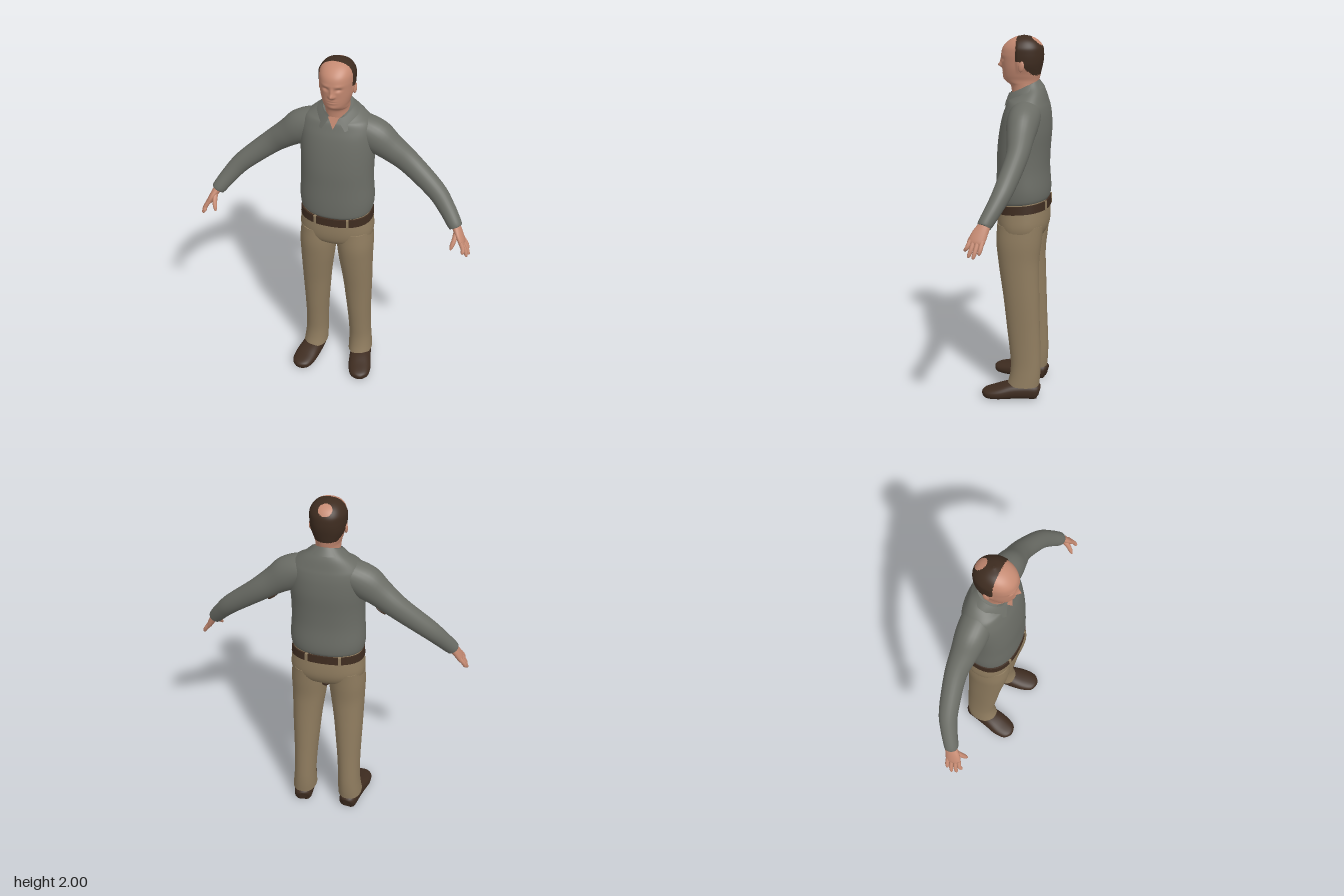
import * as THREE from 'three';

const mat = (name, color, side = THREE.FrontSide) => {
  const m = new THREE.MeshStandardMaterial({ color, side });
  m.name = name;
  return m;
};

// Section seen from above: height, half width, front z, back z, backward rise, centre x
const flat = (y, rx, zf, zb, k = 0, x = 0) => [x, y, (zf + zb) / 2, rx, (zf - zb) / 2, k];

// Skin smoothly over sections [x, y, z, halfU, halfV, rise]; ref sets the V axis.
// level keeps rings horizontal, and then the sections must run upward.
function loft(sections, { sides = 32, sub = 4, n = 2, level = false, ref = [0, 0, 1] } = {}) {
  const path = new THREE.CatmullRomCurve3(sections.map(s => new THREE.Vector3(s[0], s[1], s[2])), false, 'catmullrom', 0.5);
  const size = new THREE.CatmullRomCurve3(sections.map(s => new THREE.Vector3(s[3], s[4], s[5] || 0)), false, 'catmullrom', 0.5);
  const rows = (sections.length - 1) * sub, pos = [], idx = [];
  const power = v => Math.sign(v) * Math.pow(Math.abs(v), 2 / n);
  for (let i = 0; i <= rows; i++) {
    const c = path.getPoint(i / rows), r = size.getPoint(i / rows);
    const T = level ? new THREE.Vector3(0, 1, 0) : path.getTangent(i / rows);
    const V = new THREE.Vector3(...ref);
    V.addScaledVector(T, -V.dot(T)).normalize();
    const U = T.clone().cross(V);
    for (let j = 0; j < sides; j++) {
      const a = j / sides * Math.PI * 2, u = power(Math.cos(a)) * r.x, v = power(Math.sin(a)) * r.y;
      const p = c.clone().addScaledVector(U, u).addScaledVector(V, v);
      pos.push(p.x, p.y - r.z * v, p.z);
    }
  }
  for (let i = 0; i < rows; i++) for (let j = 0; j < sides; j++) {
    const a = i * sides + j, b = i * sides + (j + 1) % sides, c = a + sides, d = b + sides;
    idx.push(a, c, b, b, c, d);
  }
  // separate end caps keep a crisp rim
  for (const row of [0, rows]) {
    const base = pos.length / 3, c = path.getPoint(row / rows);
    for (let q = 0; q < sides * 3; q++) pos.push(pos[row * sides * 3 + q]);
    pos.push(c.x, c.y, c.z);
    for (let j = 0; j < sides; j++) {
      const a = base + j, b = base + (j + 1) % sides;
      idx.push(base + sides, ...(row ? [b, a] : [a, b]));
    }
  }
  const g = new THREE.BufferGeometry();
  g.setAttribute('position', new THREE.Float32BufferAttribute(pos, 3));
  g.setIndex(idx);
  g.computeVertexNormals();
  return g;
}

// Head and neck, with face bumps and a receding hair area as a second material group
function headGeometry() {
  const g = loft([
    flat(1.67, .062, .035, -.1), flat(1.735, .064, .043, -.1), flat(1.755, .065, .066, -.105),
    flat(1.772, .067, .08, -.109), flat(1.795, .074, .085, -.114), flat(1.83, .082, .088, -.122),
    flat(1.87, .086, .092, -.13), flat(1.905, .088, .094, -.132), flat(1.94, .086, .084, -.127),
    flat(1.97, .073, .056, -.106), flat(1.99, .046, .02, -.072), flat(2, .006, -.022, -.034),
  ], { sides: 128, sub: 8, n: 2.15, level: true });
  // x, y, width, height, depth of each bump
  const bumps = [
    [0, 1.842, .011, .013, .022], [0, 1.865, .009, .02, .01], [0, 1.772, .022, .013, .004],
    [0, 1.806, .024, .011, .005], [0, 1.806, .022, .003, -.006],
  ];
  for (const s of [-1, 1]) bumps.push([s * .033, 1.877, .015, .009, -.01], [s * .033, 1.897, .022, .008, .003],
    [s * .013, 1.838, .007, .007, .006]);
  const p = g.attributes.position, step = THREE.MathUtils.smoothstep;
  for (let i = 0; i < p.count; i++) {
    const x = p.getX(i), y = p.getY(i), z = p.getZ(i);
    // fuller hair at the sides
    p.setX(i, x * (1 + .08 * step(-z, -.006, .006) * step(y, 1.8, 1.86) * (1 - step(y, 1.93, 1.98))));
    if (z > .02) p.setZ(i, bumps.reduce((sum, [bx, by, w, h, d]) =>
      sum + d * Math.exp(-(((x - bx) / w) ** 2) - ((y - by) / h) ** 2), z));
  }
  g.computeVertexNormals();
  const skin = [], hair = [], spot = new THREE.Vector3(0, 1.975, -.1), c = new THREE.Vector3(), v = new THREE.Vector3();
  const idx = g.index.array;
  for (let i = 0; i < idx.length; i += 3) {
    c.set(0, 0, 0);
    for (let q = 0; q < 3; q++) c.add(v.fromBufferAttribute(p, idx[i + q]));
    c.divideScalar(3);
    const line = c.z > -.018 ? 1.87 : c.z > -.042 ? 1.85 : Math.max(1.797, 1.835 + (c.z + .042) * .9);
    const isHair = c.z < .004 && c.y > line && c.distanceTo(spot) > .036;
    (isHair ? hair : skin).push(idx[i], idx[i + 1], idx[i + 2]);
  }
  g.setIndex([...skin, ...hair]);
  g.addGroup(0, skin.length, 0);
  g.addGroup(skin.length, hair.length, 1);
  return g;
}

// Folded collar, open at the front with two points
function collarGeometry() {
  const g = new THREE.PlaneGeometry(2, 1, 48, 4), p = g.attributes.position;
  for (let i = 0; i < p.count; i++) {
    const t = p.getX(i), d = .5 - p.getY(i), tip = THREE.MathUtils.smoothstep(Math.abs(t), .6, 1);
    const at = t * (Math.PI - .3 - .3 * d), lerp = THREE.MathUtils.lerp;
    p.setXYZ(i, lerp(.08, .112, d) * Math.sin(at),
      lerp(1.732, 1.705, d) + lerp(.036, .026, d) * Math.cos(at) - .05 * d * tip,
      lerp(-.035, -.04, d) - lerp(.076, .098, d) * Math.cos(at) + lerp(.012, .026, d) * tip);
  }
  g.computeVertexNormals();
  return g;
}

export function createModel() {
  const model = new THREE.Group();
  const skin = mat('skin', 0xc58a72), brown = mat('dark brown', 0x3e2c20);
  const knit = mat('grey knit', 0x6b6d66, THREE.DoubleSide), khaki = mat('khaki', 0x8f7c5f);
  const add = (name, geometry, material) => {
    const m = new THREE.Mesh(geometry, material);
    m.name = name;
    model.add(m);
    return m;
  };
  const blob = (name, material, size, at) => {
    const m = add(name, new THREE.SphereGeometry(1, 16, 12), material);
    m.scale.set(...size);
    m.position.set(...at);
    return m;
  };

  add('head', headGeometry(), [skin, brown]);

  // Sweater body and collar
  add('sweaterBody', loft([
    flat(1.118, .186, .108, -.162, .09), flat(1.138, .198, .116, -.17, .09), flat(1.2, .203, .118, -.172),
    flat(1.3, .197, .115, -.165), flat(1.4, .196, .112, -.168), flat(1.5, .2, .1, -.175),
    flat(1.58, .2, .083, -.172), flat(1.63, .192, .065, -.164), flat(1.662, .172, .052, -.155),
    flat(1.69, .135, .043, -.142, .2), flat(1.712, .1, .036, -.125, .38), flat(1.735, .077, .032, -.108, .48),
  ], { sides: 48, n: 2.25, level: true }), knit);
  add('collar', collarGeometry(), knit);
  const vee = new THREE.BufferGeometry();
  vee.setAttribute('position', new THREE.Float32BufferAttribute(
    [-.03, 1.705, .053, 0, 1.64, .07, .03, 1.705, .053], 3));
  vee.computeVertexNormals();
  add('openNeck', vee, skin);

  // Hips, belt and belt loops
  add('hips', loft([
    flat(.91, .15, .07, -.115), flat(.94, .19, .099, -.146), flat(.99, .204, .112, -.166),
    flat(1.06, .198, .112, -.168), flat(1.135, .188, .104, -.16, .09),
  ], { sides: 48, n: 2.35, level: true }), khaki);
  add('belt', loft([flat(1.073, .201, .118, -.173, .09), flat(1.118, .197, .117, -.171, .09)],
    { sides: 48, n: 2.35, level: true }), brown);
  for (const s of [-1, 1]) for (const [z, y, turn] of [[.103, 1.08, .25], [-.159, 1.104, -.25]]) {
    const loop = add('beltLoop', new THREE.BoxGeometry(.014, .055, .016), khaki);
    loop.position.set(s * .09, y, z);
    loop.rotation.y = s * turn;
  }
  blob('crotchGusset', brown, [.024, .02, .03], [0, .905, -.09]);

  for (const s of [-1, 1]) {
    const side = s > 0 ? 'left' : 'right';
    const limb = (name, pts, m, o) => add(side + name, loft(pts.map(([x, ...rest]) => [x * s, ...rest]), o), m);

    blob(side + 'Ear', skin, [.009, .029, .016], [s * .09, 1.845, -.027]).rotation.set(-.15, s * -.2, 0);

    // Sleeve, running on into the shoulder, with a patch under the arm
    limb('Sleeve', [
      [.05, 1.635, -.06, .05, .07], [.13, 1.604, -.058, .078, .083], [.205, 1.56, -.056, .092, .083],
      [.28, 1.505, -.058, .075, .071], [.38, 1.428, -.06, .063, .057], [.53, 1.305, -.028, .053, .05],
      [.6, 1.228, .005, .046, .043], [.652, 1.16, .04, .04, .038], [.663, 1.143, .046, .036, .034],
    ], knit, { sides: 28 });
    blob(side + 'UnderarmPatch', brown, [.035, .006, .016], [s * .287, 1.418, -.08]).rotation.z = -s * .67;

    // Hand, fingers and thumb
    limb('Palm', [
      [.65, 1.165, .038, .025, .029], [.67, 1.138, .05, .022, .034], [.69, 1.105, .066, .019, .041],
      [.706, 1.075, .076, .016, .041], [.711, 1.063, .079, .01, .035],
    ], skin, { sides: 20 });
    [[.046, .056, 1.02, .738], [.067, .083, 1.002, .746], [.088, .108, 1.005, .738], [.106, .128, 1.03, .72]]
      .forEach(([z0, z1, y, x], i) => limb('Finger' + (i + 1), [
        [.702, 1.085, z0, .0115, .0115], [(.706 + x) / 2 + .006, (1.08 + y) / 2, (z0 + z1) / 2, .011, .011],
        [x, y + .008, z1, .009, .009], [x + .001, y, z1 + .001, .003, .003],
      ], skin, { sides: 10 }));
    limb('Thumb', [
      [.672, 1.13, .066, .014, .016], [.668, 1.095, .1, .013, .014], [.66, 1.065, .122, .011, .011],
      [.655, 1.047, .132, .004, .004],
    ], skin, { sides: 10 });

    // Trouser leg
    add(side + 'TrouserLeg', loft([
      flat(.075, .069, .04, -.14, 0, s * .138), flat(.13, .066, .026, -.145, 0, s * .135),
      flat(.2, .063, .021, -.147, 0, s * .132), flat(.3, .064, .03, -.144, 0, s * .129),
      flat(.4, .068, .042, -.14, 0, s * .126), flat(.5, .074, .053, -.137, 0, s * .123),
      flat(.6, .08, .065, -.134, 0, s * .12), flat(.7, .087, .08, -.131, 0, s * .115),
      flat(.8, .095, .094, -.131, 0, s * .109), flat(.9, .101, .104, -.142, 0, s * .105),
      flat(1, .098, .1, -.152, 0, s * .1),
    ], { sides: 32, n: 2.15, level: true }), khaki);

    // Shoe with a flat sole, toes turned slightly out
    const shoe = limb('Shoe', [
      [.134, .035, -.14, .02, .025], [.136, .038, -.125, .048, .046], [.142, .042, -.06, .058, .05],
      [.154, .04, .02, .064, .047], [.169, .03, .09, .066, .037], [.179, .024, .145, .054, .028],
      [.183, .02, .168, .03, .02], [.184, .018, .176, .006, .008],
    ], brown, { sides: 32, n: 2.4, ref: [0, 1, 0] });
    const p = shoe.geometry.attributes.position;
    for (let i = 0; i < p.count; i++) p.setY(i, Math.max(0, p.getY(i)));
    shoe.geometry.computeVertexNormals();
  }
  return model;
}
